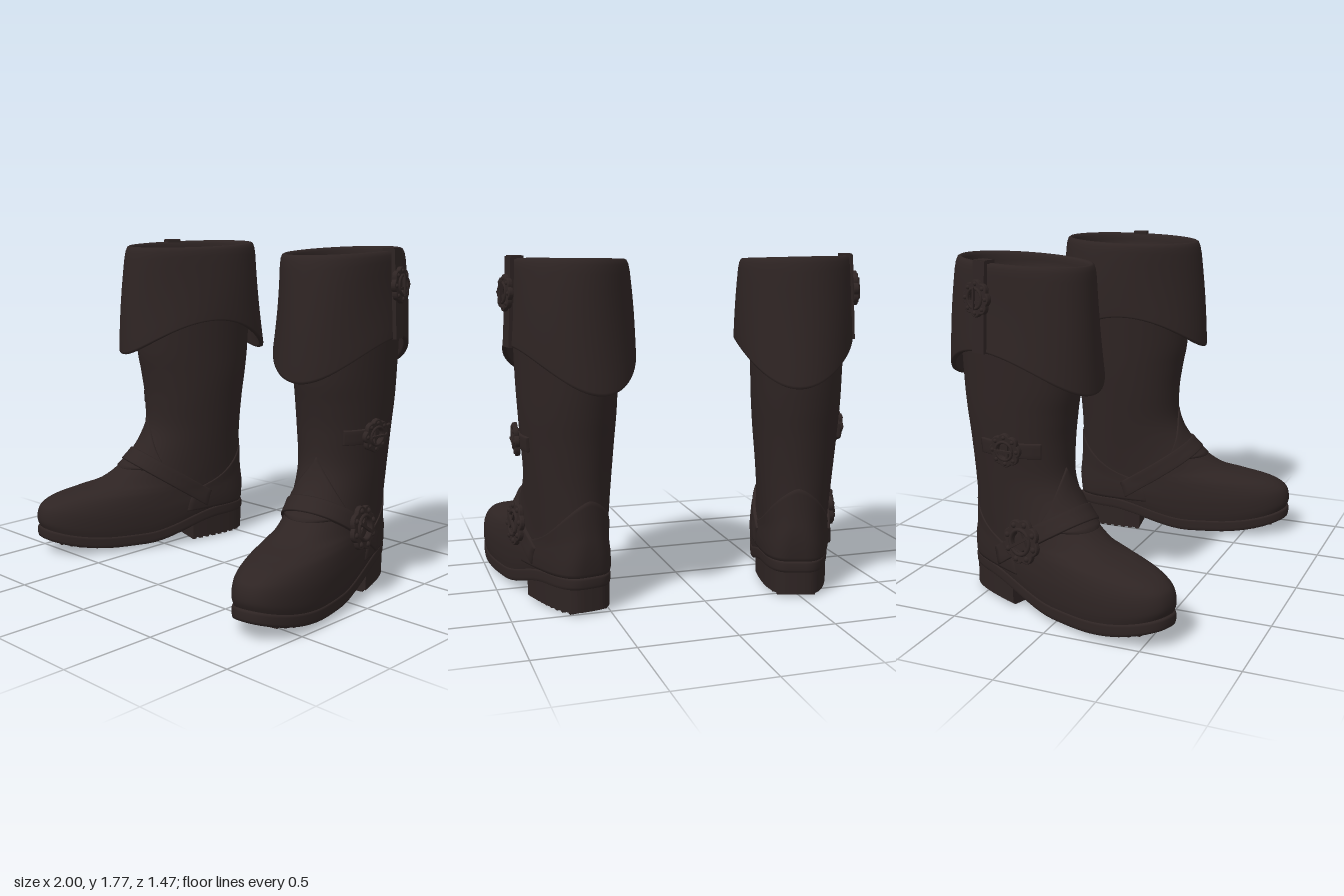
import * as THREE from 'three';
import { mergeVertices } from 'three/addons/utils/BufferGeometryUtils.js';

const { sin, cos, abs, sign, PI, acos } = Math;
const clamp = THREE.MathUtils.clamp, smooth = THREE.MathUtils.smoothstep, lerp = THREE.MathUtils.lerp;
const V = (x, y, z) => new THREE.Vector3(x, y, z);

// Boot sections from sole to top: height, back, front, half width, widest point, squareness
const ROWS = [
  [0.06, -0.28, 0.96, 0.205, 0.44, 0.55], [0.12, -0.29, 0.98, 0.213, 0.44, 0.55],
  [0.20, -0.30, 0.975, 0.215, 0.42, 0.58], [0.26, -0.30, 0.95, 0.21, 0.38, 0.62],
  [0.31, -0.30, 0.885, 0.203, 0.30, 0.67], [0.345, -0.295, 0.76, 0.198, 0.20, 0.73],
  [0.38, -0.295, 0.60, 0.195, 0.13, 0.8], [0.45, -0.29, 0.48, 0.195, 0.06, 0.88],
  [0.55, -0.29, 0.375, 0.2, 0.02, 0.95], [0.68, -0.295, 0.305, 0.21, 0, 1],
  [0.85, -0.31, 0.30, 0.225, 0, 1], [1.0, -0.33, 0.32, 0.235, -0.01, 1],
  [1.15, -0.345, 0.345, 0.24, -0.01, 1], [1.4, -0.355, 0.35, 0.247, -0.01, 1], [1.62, -0.355, 0.35, 0.247, -0.01, 1],
];
const LAST = ROWS.length - 1, CX = 0.02;

// Catmull-Rom blend of the sections
function section(v) {
  const i = Math.min(Math.floor(v), LAST - 1), f = v - i;
  const r = k => ROWS[clamp(i + k, 0, LAST)];
  return ROWS[0].map((_, c) => {
    const [a, b, d, e] = [r(-1)[c], r(0)[c], r(1)[c], r(2)[c]];
    return b + 0.5 * f * (d - a + f * (2 * a - 5 * b + 4 * d - e + f * (3 * (b - d) + e - a)));
  });
}

// Height of the welt (raised at heel and toe), and the outward curve of the foot
const welt = z => 0.078 + 0.1 * (1 - smooth(z, -0.1, 0.4)) + 0.065 * (Math.max(0, z - 0.55) / 0.42) ** 2;
const middle = z => CX + 0.018 * smooth(z, 0.15, 0.8);

// Point on the boot: angle 0 is the front, PI / 2 the outer side
function surface(v, a) {
  const [y, back, front, hw, mid, e] = section(v), c = cos(a), s = sin(a);
  const z = mid + c * (c > 0 ? front - mid : mid - back);
  const power = e + (0.84 - e) * Math.max(0, c) * (e < 0.84);
  const x = middle(z) + hw * sign(s) * abs(s) ** power;
  return V(x, y + (welt(z) - 0.06) * clamp(1 - (y - 0.06) / 0.28, 0, 1), z);
}

function normalAt(v, a) {
  const da = surface(v, a + 0.02).sub(surface(v, a - 0.02));
  const dv = surface(Math.min(v + 0.05, LAST), a).sub(surface(Math.max(v - 0.05, 0), a));
  return da.cross(dv).normalize();
}

// Grid surface from point(row, column)
function loft(rows, cols, point) {
  const pos = [], idx = [];
  for (let i = 0; i <= rows; i++) for (let j = 0; j <= cols; j++) pos.push(...point(i, j).toArray());
  for (let i = 0; i < rows; i++) for (let j = 0; j < cols; j++) {
    const a = i * (cols + 1) + j, b = a + cols + 1;
    idx.push(a, a + 1, b + 1, a, b + 1, b);
  }
  const g = new THREE.BufferGeometry();
  g.setAttribute('position', new THREE.Float32BufferAttribute(pos, 3));
  g.setIndex(idx);
  const m = mergeVertices(g, 1e-5);
  m.computeVertexNormals();
  return m;
}
const ringLoft = (stations, fn, n = 64) => loft(stations.length - 1, n, (i, j) => fn(stations[i], (j % n) / n * PI * 2));

// Section position where the boot reaches level(z) at an angle
function solve(level, a) {
  let lo = 0, hi = LAST;
  for (let k = 0; k < 26; k++) {
    const m = (lo + hi) / 2, p = surface(m, a);
    if (p.y < level(p.z, a)) lo = m; else hi = m;
  }
  return lo;
}

// Leather strip lying on the boot between two levels
function band(low, high, a0, a1, off, n = 40) {
  const st = [[0, -0.01], [0, off * 0.8], [0.06, off], [0.3, off], [0.5, off], [0.7, off], [0.94, off], [1, off * 0.8], [1, -0.01]];
  return loft(st.length - 1, n + 2, (i, j) => {
    const a = lerp(a0, a1, clamp((j - 1) / n, 0, 1)), [f, o] = st[i];
    const v = solve((z, q) => lerp(low(z, q), high(z, q), f), a);
    return surface(v, a).addScaledVector(normalAt(v, a), j === 0 || j === n + 2 ? -0.01 : o);
  });
}

// Half width of the sole at z
function soleHalf(z) {
  const [, back, front, , mid] = ROWS[0];
  const p = surface(0, acos(clamp((z - mid) / (z > mid ? front - mid : mid - back), -1, 1)));
  return p.x - middle(z);
}

function makeBoot(material, mirror) {
  const boot = new THREE.Group();
  const add = (name, geo, parent = boot) => {
    const m = new THREE.Mesh(geo.index ? geo : mergeVertices(geo), material);
    m.name = name;
    parent.add(m);
    return m;
  };

  // Foot and shaft
  const steps = [...Array(LAST * 6 + 1).keys()].map(i => i / 6);
  add('bootBody', ringLoft(steps, surface, 72));

  // Vamp tongue, heel counter
  add('vampTongue', band(() => 0.45, (z, a) => 0.74 - 0.27 * abs(a) ** 0.9, -0.95, 0.95, 0.008));
  add('heelCounter', band(() => 0.19, (z, a) => 0.58 - 0.2 * abs(a - PI) ** 1.5, PI - 1.15, PI + 1.15, 0.006));

  // Sole, heel and treads
  const sole = [[0, -0.052], [0.5, -0.052], [1, -0.052], [1.025, -0.044], [1.032, -0.03], [1.032, 0.002], [1.025, 0.012], [0.93, 0.016]];
  add('sole', ringLoft(sole, ([k, dy], a) => {
    const p = surface(0, a), m = middle(p.z);
    return V(m + (p.x - m) * k, welt(p.z) + dy, 0.335 + (p.z - 0.335) * Math.max(k, 1));
  }, 96));
  const heelShape = new THREE.Shape();
  const [, back, , , mid] = ROWS[0], a0 = acos((0.09 - mid) / (mid - back));
  for (let i = 0; i <= 40; i++) {
    const p = surface(0, lerp(a0, 2 * PI - a0, i / 40));
    const x = CX + (p.x - CX) * 1.01, z = p.z * 1.05;
    if (i) heelShape.lineTo(x, z); else heelShape.moveTo(x, z);
  }
  const heel = add('heel', new THREE.ExtrudeGeometry(heelShape, { depth: 0.125, bevelEnabled: false }).rotateX(PI / 2));
  heel.position.y = 0.14;
  const rib = (name, z, y) => add(name, new THREE.BoxGeometry(soleHalf(z) * 1.8, 0.03, 0.022)).position.set(middle(z), y, z);
  for (let z = -0.24; z < 0.09; z += 0.045) rib('heelTread', z, 0.015);
  for (let z = 0.3; z < 0.88; z += 0.048) rib('soleTread', z, welt(z) - 0.042);

  // Folded cuff with a dipping hem front and back
  const cuffPoint = ([s, d], a) => {
    const c = cos(a), hem = 1.13 + 0.2 * sin(a) ** 2 - (c < 0 ? 0.01 * c * c : 0);
    const len = (c > 0 ? 0.415 + 0.05 * s : 0.375 + 0.065 * s) - d;
    const bulge = 0.008 * sin(s * PI) * sin(3 * a + 1);
    const top = 1.752 - 0.01 * c + 0.006 * sin(a) - Math.max(0, d - 0.02) * 0.1;
    return V((0.285 + 0.026 * s - d + bulge) * sin(a), lerp(top, hem, s), (len + bulge) * c);
  };
  add('foldedCuff', ringLoft([[0.4, 0.045], [0.7, 0.035], [0.98, 0.028], [1, 0.024], [1.005, 0.012], [1, 0.002], [0.98, 0], [0.85, 0], [0.7, 0], [0.55, 0],
    [0.4, 0], [0.25, 0], [0.12, 0], [0.05, 0.003], [0.01, 0.01], [0, 0.02], [0.005, 0.03], [0.03, 0.038], [0.08, 0.042], [0.15, 0.046], [0.16, 0.06], [0.35, 0.066]], cuffPoint));
  add('lining', ringLoft([[1.66, 0.245, 0.36], [1.62, 0.224, 0.325], [1.4, 0.218, 0.315], [1.1, 0.208, 0.29], [0.8, 0.19, 0.265], [0.52, 0.175, 0.255], [0.5, 0.168, 0.245], [0.5, 0, 0]],
    ([y, w, l], a) => V(0.015 + w * sin(a), y, 0.005 + l * cos(a))));

  // Straps
  const slope = d => z => 0.258 + d + 0.64 * z;
  add('instepStrap', band(slope(-0.055), slope(0.055), -2.2, 2.2, 0.018, 80));
  add('calfStrap', band(() => 0.805, () => 0.88, 0.58, 1.75, 0.016));
  const cuffStrap = add('cuffStrap', new THREE.BoxGeometry(0.02, 0.44, 0.08));
  cuffStrap.position.set(0.305, 1.545, 0.015);
  cuffStrap.rotation.z = 0.05;
  add('cuffStrapLoop', new THREE.BoxGeometry(0.06, 0.018, 0.08)).position.set(0.268, 1.761, 0.015);

  // Scalloped buckles
  const buckle = (name, p, n, r, roll) => {
    const b = new THREE.Group();
    b.name = name;
    const ring = (fn, T) => [...Array(97).keys()].map(i => i / 96 * 2 * PI).map(t => new T(fn(t) * cos(t), fn(t) * sin(t)));
    const shape = new THREE.Shape(ring(t => r * (0.86 + 0.14 * abs(cos(4 * t))), THREE.Vector2));
    shape.holes.push(new THREE.Path(ring(() => r * 0.52, THREE.Vector2).reverse()));
    add('buckleFrame', new THREE.ExtrudeGeometry(shape, { depth: 0.014, bevelThickness: 0.006, bevelSize: 0.005, bevelSegments: 2 }), b);
    add('buckleRim', new THREE.TorusGeometry(r * 0.56, r * 0.09, 8, 32), b).position.z = 0.022;
    for (let i = 0; i < 8; i++) {
      const t = i * PI / 4;
      add('bucklePetal', new THREE.SphereGeometry(r * 0.14, 10, 8), b).position.set(cos(t) * r * 0.82, sin(t) * r * 0.82, 0.016);
    }
    add('buckleProng', new THREE.BoxGeometry(r * 1.25, r * 0.13, 0.014), b).position.z = 0.028;
    add('buckleBar', new THREE.BoxGeometry(r * 0.16, r * 1.1, 0.014), b).position.set(-r * 0.2, 0, 0.02);
    b.position.copy(p);
    b.lookAt(p.clone().add(n));
    b.rotateZ(roll);
    boot.add(b);
  };
  const onBoot = (name, level, a, r, roll) => {
    const v = solve(level, a), n = normalAt(v, a);
    buckle(name, surface(v, a).addScaledVector(n, 0.014), n, r, roll);
  };
  // angle at which the instep strap passes the buckle place
  const gap = q => abs(surface(solve(slope(0), q), q).z - 0.19);
  let best = 1;
  for (let a = 0.6; a < 2; a += 0.01) if (gap(a) < gap(best)) best = a;
  onBoot('instepBuckle', slope(0), best, 0.112, -0.56);
  onBoot('calfBuckle', () => 0.845, 1.22, 0.082, 0);
  buckle('cuffBuckle', V(0.314, 1.59, 0.015), V(1, 0.05, 0), 0.085, PI / 2);

  // Bake the parts, mirrored for the right foot
  const out = new THREE.Group();
  boot.updateMatrixWorld(true);
  const flip = new THREE.Matrix4().makeScale(mirror, 1, 1);
  boot.traverse(o => {
    if (!o.isMesh) return;
    const g = o.geometry.clone().applyMatrix4(o.matrixWorld).applyMatrix4(flip);
    if (mirror < 0) g.index.array.reverse();
    const m = new THREE.Mesh(g, material);
    m.name = o.name;
    out.add(m);
  });
  return out;
}

export function createModel() {
  const model = new THREE.Group();
  model.name = 'pairOfBoots';
  const leather = new THREE.MeshStandardMaterial({ color: 0x2e2423 });
  leather.name = 'darkBrownLeather';

  const left = makeBoot(leather, 1);
  left.name = 'leftBoot';
  left.position.set(0.635, 0, -0.22);
  left.rotation.y = 0.19;

  const right = makeBoot(leather, -1);
  right.name = 'rightBoot';
  right.position.set(-0.55, 0, -0.305);
  right.rotation.y = -0.32;

  model.add(left, right);
  return model;
}
